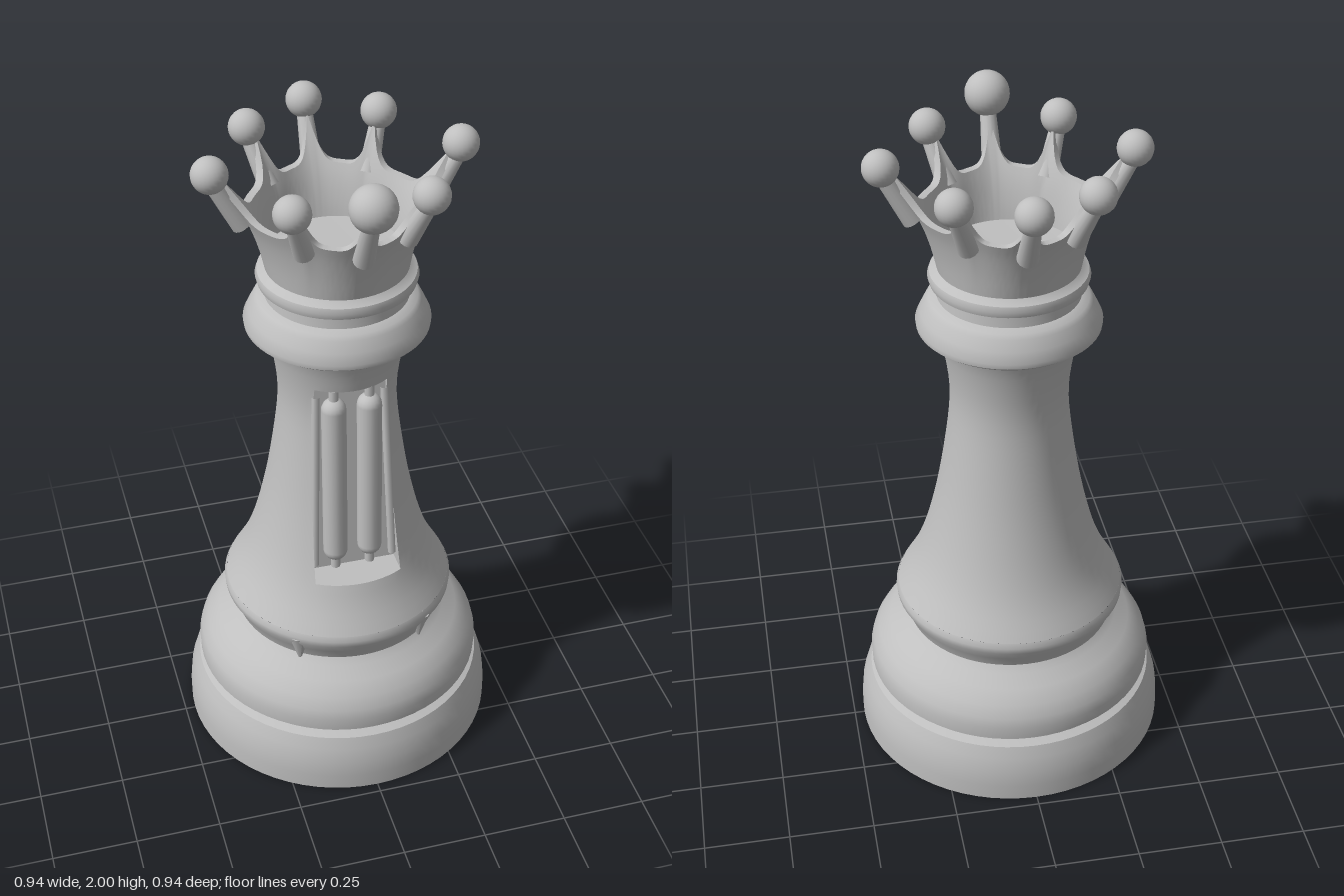
import * as THREE from 'three';
import { toCreasedNormals } from 'three/addons/utils/BufferGeometryUtils.js';

const stone = new THREE.MeshStandardMaterial({ color: 0xbfbfbf });
stone.name = 'light grey';

const lerp = THREE.MathUtils.lerp;
const clamp01 = (t) => Math.min(1, Math.max(0, t));

function add(parent, name, geometry) {
  const mesh = new THREE.Mesh(geometry, stone);
  mesh.name = name;
  parent.add(mesh);
  return mesh;
}

// Turned part from [radius, height] pairs
function turned(pairs, crease = 0.6) {
  const points = pairs.map(([r, y]) => new THREE.Vector2(r, y));
  return toCreasedNormals(new THREE.LatheGeometry(points, 64), crease);
}

// Smooth radius as a function of height
function radiusCurve(pairs) {
  const samples = new THREE.SplineCurve(pairs.map(([r, y]) => new THREE.Vector2(r, y))).getPoints(200);
  return (y) => {
    let i = 1;
    while (i < samples.length - 1 && samples[i].y < y) i++;
    const a = samples[i - 1], b = samples[i];
    return lerp(a.x, b.x, clamp01((y - a.y) / (b.y - a.y)));
  };
}

// Surface of rows of closed loops; point(row, column) gives [x, y, z]
function loopSurface(rows, cols, point, crease) {
  const position = [], index = [];
  for (let i = 0; i < rows; i++) {
    for (let j = 0; j < cols; j++) {
      position.push(...point(i, j));
      if (i === rows - 1) continue;
      const k = (j + 1) % cols;
      const a = i * cols + j, b = i * cols + k;
      index.push(a, b, b + cols, a, b + cols, a + cols);
    }
  }
  const g = new THREE.BufferGeometry();
  g.setAttribute('position', new THREE.Float32BufferAttribute(position, 3));
  g.setIndex(index);
  return toCreasedNormals(g, crease);
}

// Tapered shaft with a flat recess in the front
function shaftGeometry() {
  const radius = radiusCurve([[0.34, 0.5], [0.29, 0.59], [0.25, 0.7], [0.21, 0.87],
    [0.178, 1.08], [0.172, 1.2], [0.188, 1.32], [0.208, 1.385]]);
  const low = 0.64, high = 1.27;
  const rows = [];
  const band = (from, to, n, cut) => {
    for (let i = 0; i <= n; i++) rows.push({ y: lerp(from, to, i / n), cut });
  };
  band(0.5, low, 5, false);
  band(low, high, 16, true);
  band(high, 1.385, 5, false);

  const inside = 13, outside = 49;
  return loopSurface(rows.length, inside + outside, (i, j) => {
    const { y, cut } = rows[i];
    const r = radius(y);
    const up = clamp01((y - low) / (high - low));
    const half = Math.asin(lerp(0.13, 0.105, up) / r);
    const inRecess = j < inside;
    const angle = inRecess
      ? lerp(-half, half, j / (inside - 1))
      : lerp(half, Math.PI * 2 - half, (j - inside) / (outside - 1));
    let z = r * Math.cos(angle);
    if (cut && inRecess) z = Math.min(z, lerp(0.165, 0.125, up));
    return [r * Math.sin(angle), y, z];
  }, 0.6);
}

// Crown points: x, y, z and radius of each ball, in order of angle
const balls = [
  [0, 1.937, 0.345, 0.064], [0.185, 1.895, 0.247, 0.051], [0.345, 1.9, 0, 0.051], [0.188, 1.895, -0.25, 0.051],
  [0, 1.905, -0.353, 0.051], [-0.188, 1.895, -0.25, 0.051], [-0.345, 1.9, 0, 0.051], [-0.185, 1.895, 0.247, 0.051],
];

// Flared crown wall with scalloped rim, inner wall and floor
function crownGeometry() {
  const outer = radiusCurve([[0.2, 1.58], [0.218, 1.66], [0.245, 1.74], [0.285, 1.815], [0.335, 1.89]]);
  const tips = balls.map(([x, , z]) => ({
    angle: (Math.atan2(x, z) + Math.PI * 2) % (Math.PI * 2), scale: Math.hypot(x, z) / 0.34,
  }));
  const perGap = 20, wallRows = 9;
  return loopSurface(wallRows * 2 + 1, perGap * tips.length, (i, j) => {
    const gap = Math.floor(j / perGap), t = (j % perGap) / perGap;
    const a = tips[gap], b = tips[(gap + 1) % tips.length];
    const angle = lerp(a.angle, b.angle || Math.PI * 2, t);
    const rim = 1.765 + 0.115 * Math.pow(Math.abs(2 * t - 1), 4);
    let r = 0, y = 1.61;
    if (i < wallRows * 2) {
      const isOuter = i < wallRows;
      const v = isOuter ? i / (wallRows - 1) : 1 - (i - wallRows) / (wallRows - 1);
      y = lerp(isOuter ? 1.58 : 1.62, rim, v);
      r = outer(y) * (1 + (lerp(a.scale, b.scale, t) - 1) * v) - (isOuter ? 0 : 0.022);
    }
    return [r * Math.sin(angle), y, r * Math.cos(angle)];
  }, 0.8);
}

export function createModel() {
  const model = new THREE.Group();
  model.name = 'chessPiece';

  add(model, 'base', turned([[0, 0], [0.47, 0], [0.47, 0.05], [0.465, 0.1], [0.452, 0.145],
    [0.437, 0.18], [0.412, 0.19], [0.412, 0.205], [0.432, 0.212], [0.433, 0.25], [0.425, 0.28],
    [0.405, 0.315], [0.37, 0.35], [0.33, 0.375], [0.312, 0.395], [0.325, 0.43], [0.345, 0.465],
    [0.347, 0.485], [0.34, 0.5]]));
  add(model, 'shaft', shaftGeometry());
  add(model, 'collar', turned([[0.208, 1.385], [0.245, 1.387], [0.262, 1.4], [0.264, 1.415],
    [0.25, 1.445], [0.235, 1.475], [0.225, 1.487], [0.203, 1.495], [0.2, 1.525], [0.222, 1.537],
    [0.227, 1.555], [0.222, 1.57], [0.204, 1.58], [0.19, 1.6]]));
  add(model, 'crown', crownGeometry());

  // Balls on tapered stems around the crown
  balls.forEach(([x, y, z, r]) => {
    add(model, 'crownBall', new THREE.SphereGeometry(r, 24, 16)).position.set(x, y, z);
    const top = new THREE.Vector3(x, y - r * 0.6, z * 0.98);
    top.x *= 0.98;
    const bottom = new THREE.Vector3(x * 0.76, 1.74, z * 0.76);
    const axis = top.clone().sub(bottom);
    const stem = add(model, 'crownStem', new THREE.CylinderGeometry(0.022, 0.03, axis.length(), 14));
    stem.position.copy(top).add(bottom).multiplyScalar(0.5);
    stem.quaternion.setFromUnitVectors(new THREE.Vector3(0, 1, 0), axis.normalize());
  });

  for (const side of [-1, 1]) {
    // Round-ended rods in the recess, with thin necks at both ends
    const rod = new THREE.Group();
    rod.name = 'recessRod';
    rod.position.set(side * 0.052, 0.955, 0.163);
    rod.rotation.x = -0.035;
    add(rod, 'rodBody', new THREE.CapsuleGeometry(0.036, 0.49, 6, 18));
    add(rod, 'rodNeck', new THREE.CylinderGeometry(0.014, 0.014, 0.62, 10));
    model.add(rod);

    // Slim ridges along the sides of the recess
    const ridge = new THREE.LineCurve3(
      new THREE.Vector3(side * 0.118, 0.67, 0.185), new THREE.Vector3(side * 0.1, 1.24, 0.137));
    add(model, 'recessRidge', new THREE.TubeGeometry(ridge, 1, 0.012, 8));

    // Small pointed drips under the flange
    const drip = add(model, 'flangeDrip', new THREE.ConeGeometry(0.035, 0.11, 10));
    drip.position.set(side * 0.185, 0.42, 0.255);
    drip.rotation.x = Math.PI;
  }

  return model;
}
